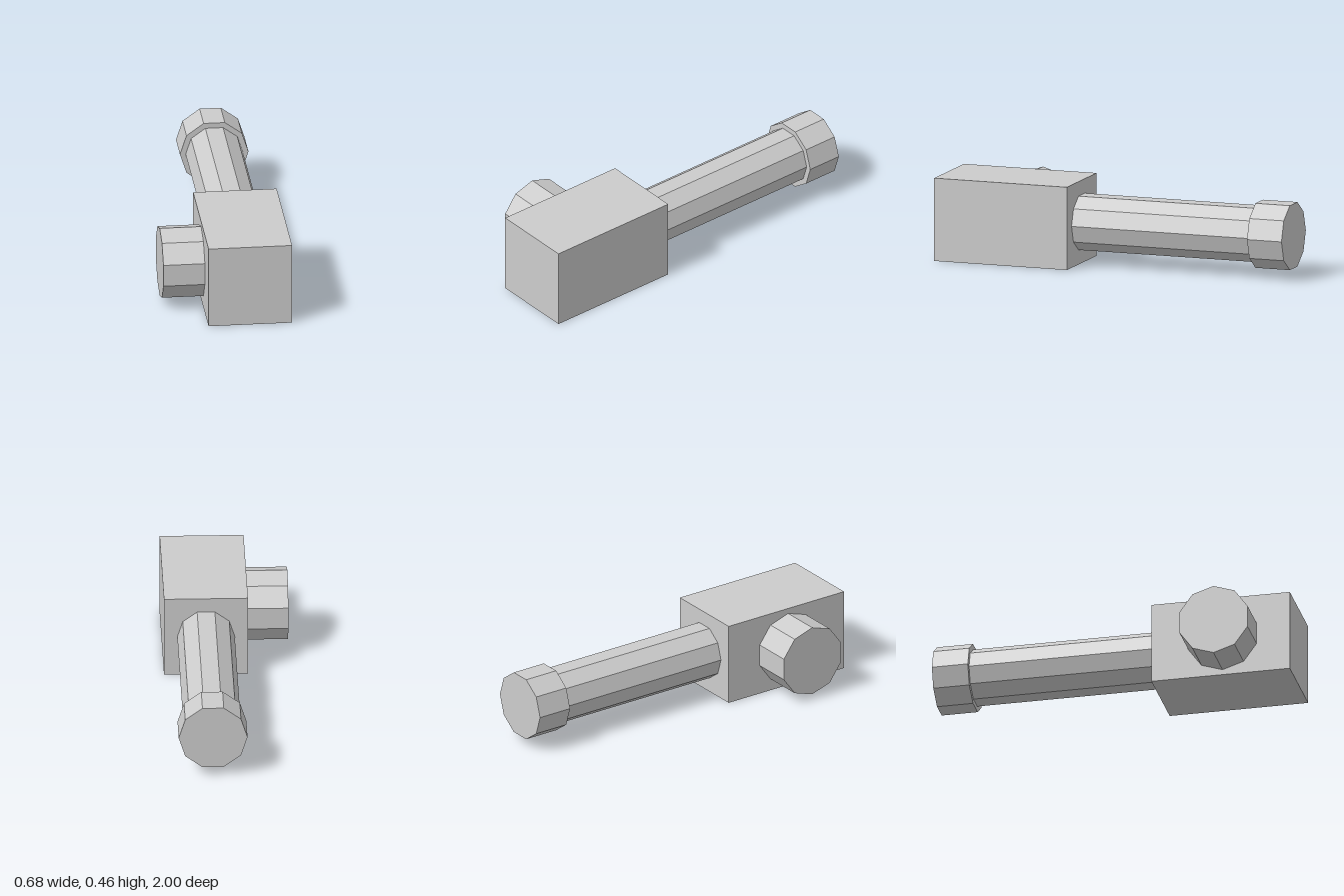
import * as THREE from 'three';

export function createModel() {
  const model = new THREE.Group();
  const grey = new THREE.MeshStandardMaterial({ color: 0xcccccc, flatShading: true });
  grey.name = 'light grey';

  function add(name, geometry, x, y, z) {
    const mesh = new THREE.Mesh(geometry, grey);
    mesh.name = name;
    mesh.position.set(x, y, z);
    model.add(mesh);
  }

  // Ten-sided prism along y with corners on its x axis
  const prism = (radius, length) =>
    new THREE.CylinderGeometry(radius, radius, length, 10, 1, false, Math.PI / 2);

  const axisX = 0.113, axisY = 0.229;

  // Block body
  add('body', new THREE.BoxGeometry(0.456, 0.457, 0.77), axisX, axisY, 0.615);
  // Long shaft running back, with a wider end cap
  add('shaft', prism(0.156, 1.03).rotateX(Math.PI / 2), axisX, axisY, -0.285);
  add('endCap', prism(0.187, 0.2).rotateX(Math.PI / 2), axisX, axisY, -0.9);
  // Short knob on the right side
  add('sideKnob', prism(0.199, 0.226).rotateZ(Math.PI / 2), -0.228, axisY, 0.626);

  return model;
}
